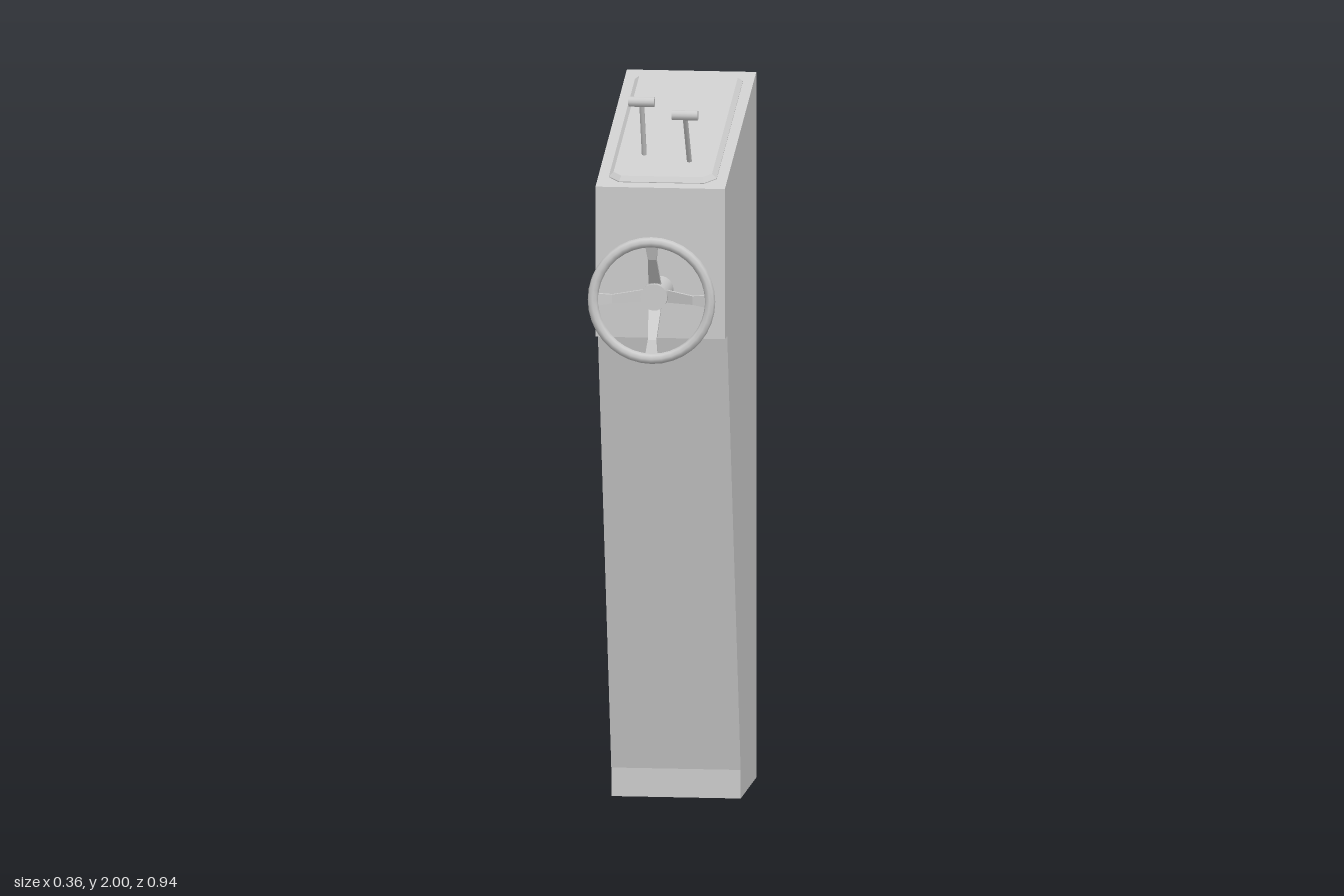
import * as THREE from 'three';

const grey = new THREE.MeshStandardMaterial({ color: 0xcccccc });
const flat = new THREE.MeshStandardMaterial({ color: 0xcccccc, flatShading: true });
const thin = new THREE.MeshStandardMaterial({ color: 0xcccccc, flatShading: true, side: THREE.DoubleSide });

const HALF_WIDTH = 0.18;
const FRONT = { z: 0.255, y: 1.765 }, BACK = { z: -0.47, y: 1.975 };
const SLOPE = Math.atan2(BACK.y - FRONT.y, FRONT.z - BACK.z);

function add(parent, name, geometry, material) {
  const mesh = new THREE.Mesh(geometry, material);
  mesh.name = name;
  parent.add(mesh);
  return mesh;
}

// Side profile extruded across the width, with the underside left open
function pedestalGeometry() {
  const profile = [
    [BACK.z, 0], [-0.11, 0], [-0.11, 0.08], [0.2, 1.345],
    [FRONT.z, 1.345], [FRONT.z, FRONT.y], [BACK.z, BACK.y],
  ];
  const shape = new THREE.Shape(profile.map(([z, y]) => new THREE.Vector2(-z, y)));
  const solid = new THREE.ExtrudeGeometry(shape, { depth: 2 * HALF_WIDTH, bevelEnabled: false });
  solid.translate(0, 0, -HALF_WIDTH).rotateY(Math.PI / 2);
  const p = solid.attributes.position.array, kept = [];
  for (let i = 0; i < p.length; i += 9) {
    const onFloor = [1, 4, 7].every((k) => Math.abs(p[i + k]) < 1e-5);
    if (!onFloor) kept.push(...p.slice(i, i + 9));
  }
  const open = new THREE.BufferGeometry();
  open.setAttribute('position', new THREE.Float32BufferAttribute(kept, 3));
  open.computeVertexNormals();
  return open;
}

// Raised plate with cut corners and a bevelled rim
function panelGeometry() {
  const w = 0.137, h = 0.333, c = 0.024;
  const corners = [
    [w, -h + c], [w, h - c], [w - c, h], [-w + c, h],
    [-w, h - c], [-w, -h + c], [-w + c, -h], [w - c, -h],
  ];
  const shape = new THREE.Shape(corners.map(([x, y]) => new THREE.Vector2(x, y)));
  return new THREE.ExtrudeGeometry(shape, {
    depth: 0.002, bevelThickness: 0.012, bevelSize: 0.013, bevelSegments: 1,
  });
}

// Flat bar that follows stations of [radius, z, width]
function spokeGeometry() {
  const stations = [[0.015, 0.368, 0.034], [0.036, 0.376, 0.034], [0.112, 0.435, 0.024], [0.158, 0.453, 0.036]];
  const geometry = new THREE.BoxGeometry(1, 1, 1, stations.length - 1, 1, 1);
  const p = geometry.attributes.position;
  for (let i = 0; i < p.count; i++) {
    const [r, z, w] = stations[Math.round((p.getX(i) + 0.5) * (stations.length - 1))];
    p.setXYZ(i, r, p.getY(i) * w, z + p.getZ(i) * 0.013);
  }
  return geometry;
}

// Slanted rod with a short crossways grip
function addLever(parent, name, x, base, tip) {
  const lever = new THREE.Group();
  lever.name = name;
  parent.add(lever);
  const from = new THREE.Vector3(x, base[1], base[0]);
  const to = new THREE.Vector3(x, tip[1], tip[0]);
  const dir = to.clone().sub(from);
  const rod = add(lever, 'leverRod', new THREE.CylinderGeometry(0.007, 0.007, dir.length(), 10), grey);
  rod.position.copy(from).add(to).multiplyScalar(0.5);
  rod.quaternion.setFromUnitVectors(new THREE.Vector3(0, 1, 0), dir.normalize());
  const grip = add(lever, 'leverGrip', new THREE.CylinderGeometry(0.014, 0.014, 0.072, 12), grey);
  grip.rotation.z = Math.PI / 2;
  grip.position.copy(to);
}

export function createModel() {
  const model = new THREE.Group();
  model.name = 'steeringConsole';

  add(model, 'pedestal', pedestalGeometry(), thin);

  // Control panel on the sloping top
  const panel = add(model, 'controlPanel', panelGeometry(), flat);
  panel.rotation.x = SLOPE - Math.PI / 2;
  panel.position.set(0, (FRONT.y + BACK.y) / 2, (FRONT.z + BACK.z) / 2);

  addLever(model, 'rightLever', -0.065, [0.077, 1.815], [0.142, 1.986]);
  addLever(model, 'leftLever', 0.065, [0.11, 1.805], [0.221, 1.964]);

  // Steering wheel on its column
  const wheel = new THREE.Group();
  wheel.name = 'steeringWheel';
  wheel.position.y = 1.482;
  model.add(wheel);
  const column = add(wheel, 'column', new THREE.CylinderGeometry(0.037, 0.037, 0.16, 24), grey);
  column.rotation.x = Math.PI / 2;
  column.position.z = 0.32;
  const rim = add(wheel, 'rim', new THREE.TorusGeometry(0.163, 0.0145, 8, 36), grey);
  rim.position.z = 0.454;
  const spoke = spokeGeometry();
  for (let i = 0; i < 4; i++) add(wheel, 'spoke', spoke, flat).rotation.z = i * Math.PI / 2;

  return model;
}
